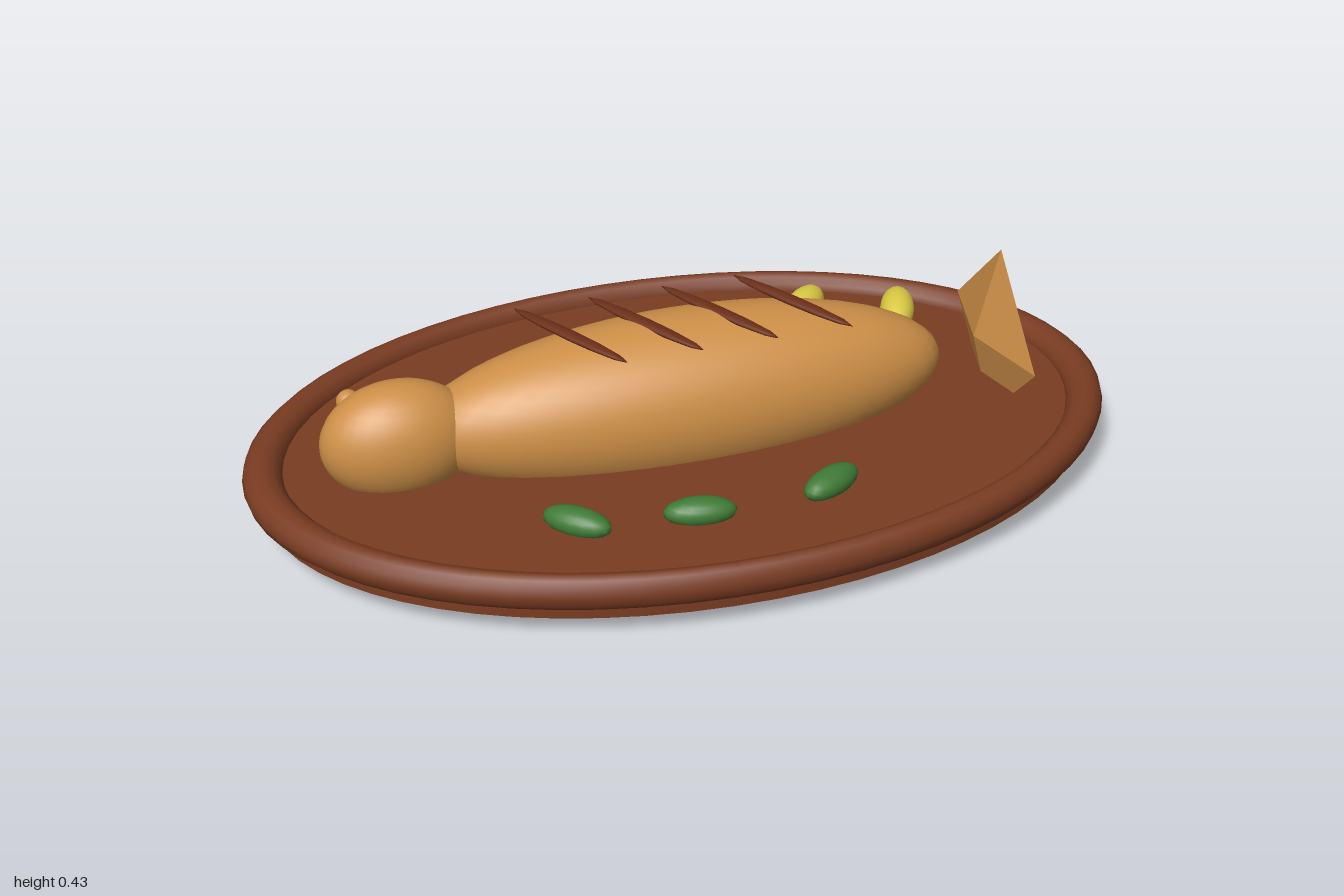
import * as THREE from 'three';

const material = (name, color) => {
  const m = new THREE.MeshStandardMaterial({ color });
  m.name = name;
  return m;
};

export function createModel() {
  const group = new THREE.Group();
  const clay = material('brown clay', 0x7a3c22);
  const fish = material('roasted skin', 0xcd8f47);
  const char = material('charred cuts', 0x6a2e18);
  const green = material('herb green', 0x3f7a35);
  const yellow = material('lemon yellow', 0xdccb45);

  const add = (name, geometry, mat, x, y, z) => {
    const mesh = new THREE.Mesh(geometry, mat);
    mesh.name = name;
    mesh.position.set(x, y, z);
    group.add(mesh);
    return mesh;
  };
  // Ellipsoid with its half sizes, turned around the vertical
  const ellipsoid = (name, mat, [x, y, z], [rx, ry, rz], turn = 0, w = 32, h = 20) => {
    const mesh = add(name, new THREE.SphereGeometry(1, w, h), mat, x, y, z);
    mesh.scale.set(rx, ry, rz);
    mesh.rotation.y = turn;
    return mesh;
  };

  // Oval platter: floor disc and rounded rim
  const floor = add('platterFloor', new THREE.CylinderGeometry(0.96, 0.96, 0.07, 64), clay, 0, 0.085, 0);
  floor.scale.z = 0.655;
  const rimShape = new THREE.TorusGeometry(0.955, 0.045, 12, 64).rotateX(Math.PI / 2);
  add('platterRim', rimShape, clay, 0, 0.115, 0).scale.set(1, 0.9, 0.655);

  // Fish body, head and eye
  ellipsoid('body', fish, [0, 0.198, 0], [0.62, 0.194, 0.19], 0, 40, 28);
  ellipsoid('head', fish, [-0.655, 0.198, 0], [0.175, 0.137, 0.112]);
  ellipsoid('eye', fish, [-0.745, 0.258, -0.09], [0.027, 0.027, 0.027], 0, 16, 12);

  // Tail fin: shallow four-sided pyramid with its tip toward the body
  const tailShape = new THREE.ConeGeometry(0.217, 0.055, 4).rotateZ(Math.PI / 2).toNonIndexed();
  tailShape.computeVertexNormals();
  add('tailFin', tailShape, fish, 0.738, 0.219, 0);

  // Diagonal cuts across the back
  for (let i = 0; i < 4; i++) {
    ellipsoid('cut', char, [-0.262 + i * 0.173, 0.386, -0.005], [0.178, 0.009, 0.017],
      Math.atan2(-0.31, 0.17), 12, 10);
  }

  // Garnish: herb leaves in front, lemon pieces behind the tail
  const leaves = [[-0.35, 0.345, 0.11, 0.10], [-0.09, 0.387, 0.16, 0.03], [0.217, 0.365, 0.15, -0.08]];
  for (const [x, z, dx, dz] of leaves) {
    ellipsoid('herbLeaf', green, [x, 0.135, z], [0.08, 0.032, 0.037], Math.atan2(-dz, dx), 16, 12);
  }
  const lemons = [[0.435, -0.393, 0.13, -0.14], [0.65, -0.31, 0.075, -0.18]];
  for (const [x, z, dx, dz] of lemons) {
    ellipsoid('lemonPiece', yellow, [x, 0.142, z], [0.092, 0.04, 0.042], Math.atan2(-dz, dx), 16, 12);
  }
  return group;
}
